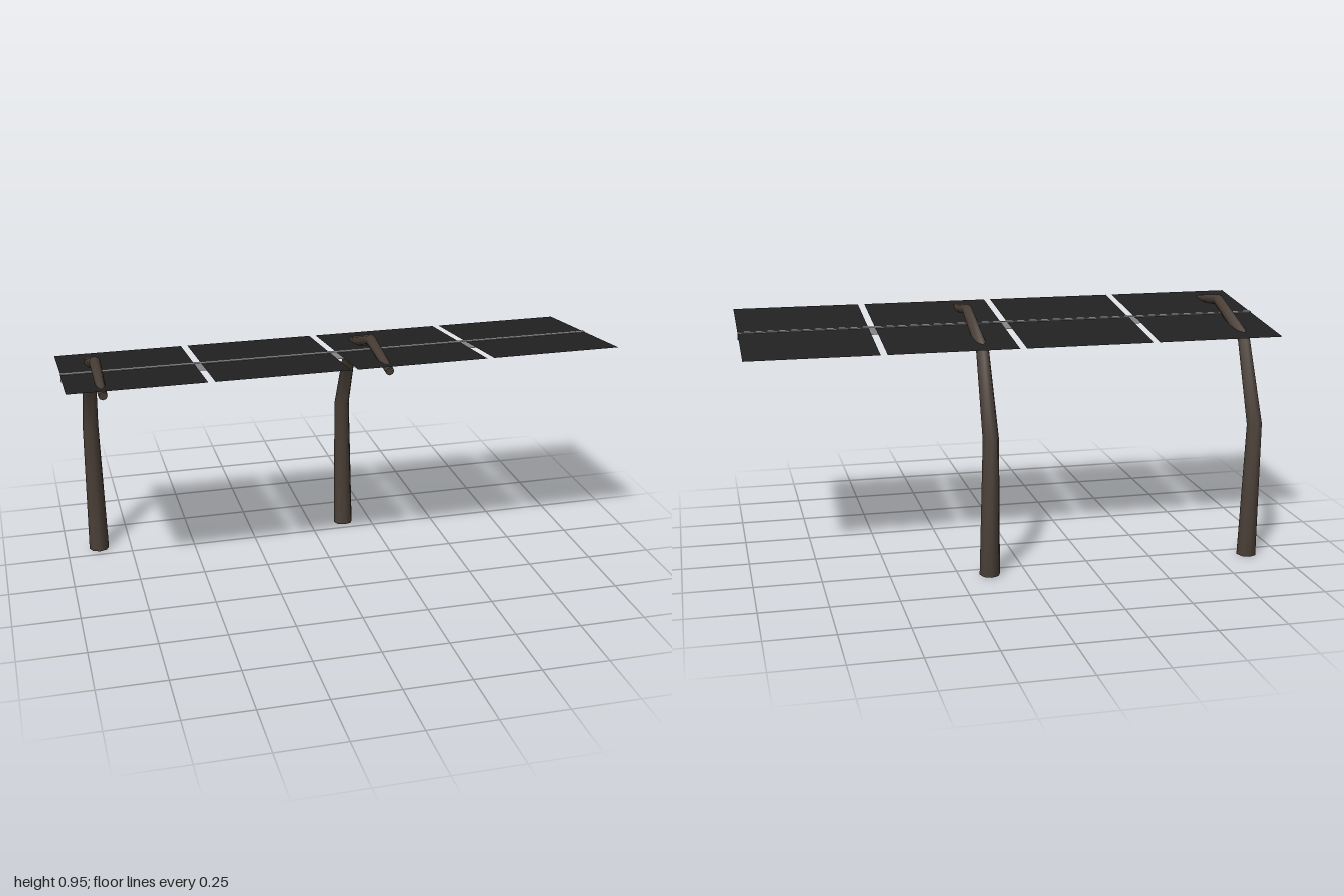
import * as THREE from 'three';

// Tapered, bent limb: rings [z, y, radius] in the YZ plane, tilted to the mean direction at each bend
function limbGeometry(rings, sides) {
  const pos = [], idx = [];
  const pts = rings.map(([z, y]) => new THREE.Vector2(z, y));
  const dir = (a, b) => pts[b].clone().sub(pts[a]).normalize();
  const last = rings.length - 1;
  const addRing = (i) => {
    const t = new THREE.Vector2();
    if (i > 0) t.add(dir(i - 1, i));
    if (i < last) t.add(dir(i, i + 1));
    t.normalize();
    const r = rings[i][2], start = pos.length / 3;
    for (let k = 0; k < sides; k++) {
      const a = (k / sides) * Math.PI * 2;
      const u = Math.cos(a) * r, v = Math.sin(a) * r;
      pos.push(u, pts[i].y - t.x * v, pts[i].x + t.y * v);
    }
    return start;
  };
  const starts = rings.map((_, i) => addRing(i));
  for (let i = 0; i < last; i++) {
    for (let k = 0; k < sides; k++) {
      const n = (k + 1) % sides;
      const a = starts[i] + k, b = starts[i] + n, c = starts[i + 1] + k, d = starts[i + 1] + n;
      idx.push(a, c, b, b, c, d);
    }
  }
  // End caps with their own vertices
  const c0 = addRing(0), c1 = addRing(last);
  for (let k = 1; k < sides - 1; k++) {
    idx.push(c0, c0 + k, c0 + k + 1, c1, c1 + k + 1, c1 + k);
  }
  const g = new THREE.BufferGeometry();
  g.setAttribute('position', new THREE.Float32BufferAttribute(pos, 3));
  g.setIndex(idx);
  g.computeVertexNormals();
  return g;
}

export function createModel() {
  const model = new THREE.Group();
  model.name = 'solarCanopy';

  const bark = new THREE.MeshStandardMaterial({ name: 'dark brown', color: 0x4a3f37 });
  const panelMat = new THREE.MeshStandardMaterial({ name: 'charcoal', color: 0x222222, side: THREE.DoubleSide });
  const steel = new THREE.MeshStandardMaterial({ name: 'grey steel', color: 0x9c9c9c });

  // Curved posts, bending forward over the panels
  const postGeo = limbGeometry([
    [-0.308, 0.003, 0.0385],
    [-0.333, 0.525, 0.03],
    [-0.194, 0.828, 0.024],
    [0.086, 0.927, 0.0205],
    [0.339, 0.89, 0.0155],
  ], 8);
  for (const x of [-0.876, 0.136]) {
    const post = new THREE.Mesh(postGeo, bark);
    post.name = 'post';
    post.position.x = x;
    model.add(post);
  }

  // Four flat panels, rising toward the front
  const backZ = -0.27, frontZ = 0.36, backY = 0.84, frontY = 0.915;
  const gap = 0.025, width = (2 - 3 * gap) / 4;
  const depth = Math.hypot(frontZ - backZ, frontY - backY);
  const panelGeo = new THREE.PlaneGeometry(width, depth).rotateX(-Math.PI / 2);
  panelGeo.rotateX(-Math.atan2(frontY - backY, frontZ - backZ));
  for (let i = 0; i < 4; i++) {
    const panel = new THREE.Mesh(panelGeo, panelMat);
    panel.name = 'panel';
    panel.position.set(-1 + width / 2 + i * (width + gap), (backY + frontY) / 2, (backZ + frontZ) / 2);
    model.add(panel);
  }

  // Long rail whose top just breaks through the panels
  const rail = new THREE.Mesh(new THREE.BoxGeometry(2, 0.029, 0.016), steel);
  rail.name = 'rail';
  rail.position.set(0, 0.8672, 0.054);
  model.add(rail);

  return model;
}
